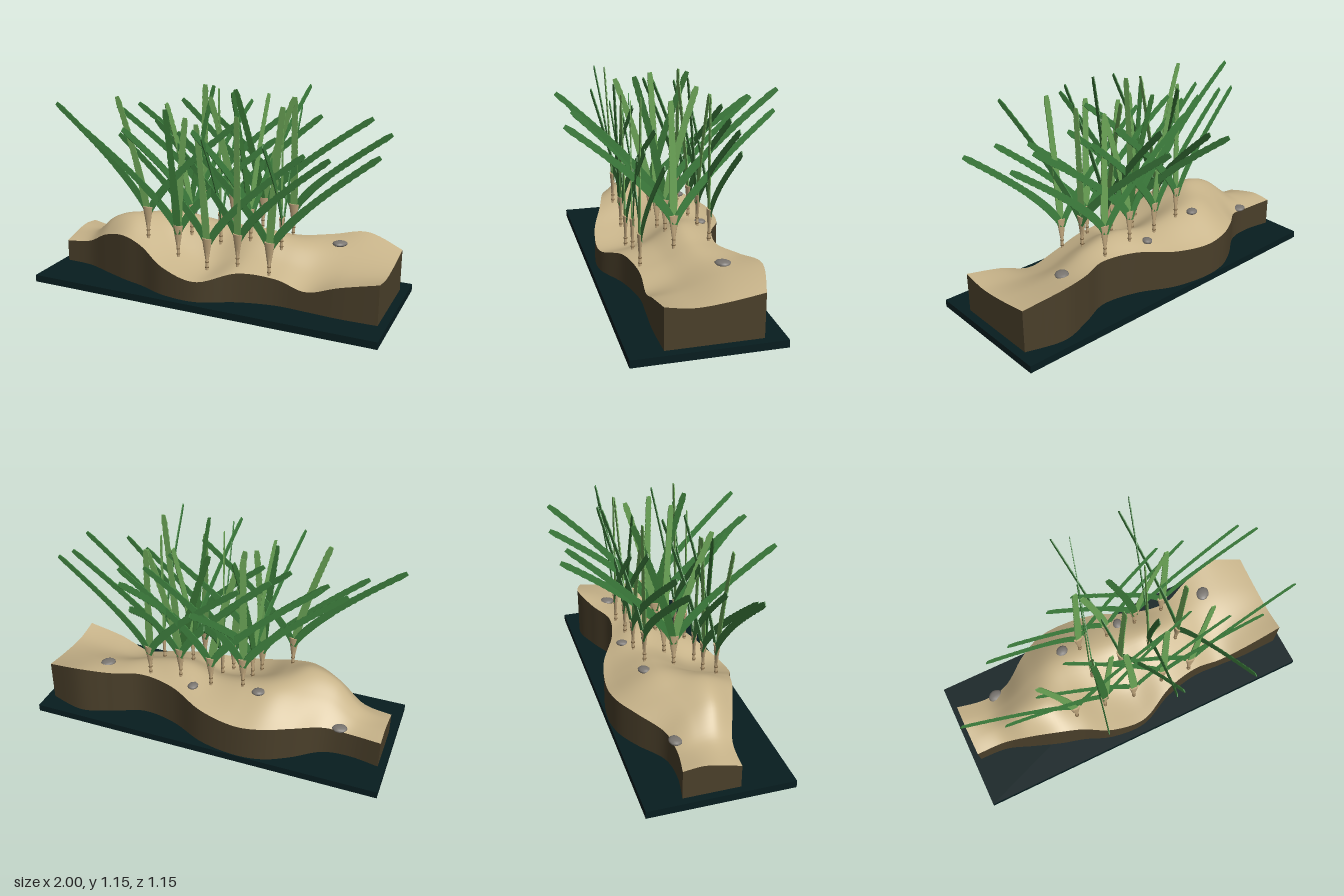
import * as THREE from 'three';

const mat = (name, color) => {
  const m = new THREE.MeshStandardMaterial({ color });
  m.name = name;
  return m;
};
const M = {
  sand: mat('sand', 0xc8b48a),
  soil: mat('soil', 0x4a3f2a),
  base: mat('deep teal', 0x071d1f),
  rock: mat('grey stone', 0x7a7671),
  sheath: mat('sheath tan', 0xc4aa80),
  band: mat('root brown', 0x7d6644),
  leaf: mat('leaf green', 0x3f823f),
  light: mat('light leaf green', 0x6ca657),
  dark: mat('dark leaf green', 0x387435),
};

function add(parent, name, geometry, material, x = 0, y = 0, z = 0) {
  const mesh = new THREE.Mesh(geometry, material);
  mesh.name = name;
  mesh.position.set(x, y, z);
  parent.add(mesh);
  return mesh;
}

// Dune stations: x, front z, back z, then heights from front edge to back edge
const STATIONS = [
  [-0.96, 0.10, -0.20, 0.165, 0.19, 0.21, 0.20],
  [-0.80, 0.11, -0.175, 0.19, 0.225, 0.215, 0.19],
  [-0.65, 0.165, -0.195, 0.27, 0.345, 0.30, 0.21],
  [-0.50, 0.22, -0.30, 0.305, 0.385, 0.34, 0.24],
  [-0.36, 0.26, -0.37, 0.275, 0.335, 0.365, 0.245],
  [-0.20, 0.32, -0.387, 0.20, 0.24, 0.345, 0.24],
  [0.00, 0.33, -0.35, 0.155, 0.185, 0.315, 0.26],
  [0.20, 0.24, -0.255, 0.205, 0.255, 0.345, 0.29],
  [0.40, 0.195, -0.22, 0.19, 0.235, 0.31, 0.30],
  [0.57, 0.20, -0.285, 0.15, 0.20, 0.285, 0.31],
  [0.75, 0.21, -0.338, 0.21, 0.22, 0.28, 0.33],
  [0.955, 0.205, -0.285, 0.26, 0.238, 0.25, 0.275],
];
const channels = [1, 2, 3, 4, 5, 6].map(
  (k) => new THREE.SplineCurve(STATIONS.map((s) => new THREE.Vector2(s[0], s[k]))));

// Spline parameter at which a curve reaches the given abscissa
function paramAt(curve, x) {
  let a = 0, b = 1;
  for (let i = 0; i < 18; i++) {
    const m = (a + b) / 2;
    if (curve.getPoint(m).x < x) a = m; else b = m;
  }
  return b;
}

// Point on the dune: u runs along x, t from front edge to back edge
function dune(u, t) {
  const p = channels.map((c) => c.getPoint(u));
  const profile = new THREE.SplineCurve(
    [0, 0.3, 0.65, 1].map((k, i) => new THREE.Vector2(k, p[i + 2].y)));
  const y = profile.getPoint(paramAt(profile, t)).y;
  return new THREE.Vector3(p[0].x, y, p[0].y + (p[1].y - p[0].y) * t);
}

function ground(x, z) {
  const u = paramAt(channels[0], x);
  const f = channels[0].getPoint(u).y, k = channels[1].getPoint(u).y;
  return dune(u, THREE.MathUtils.clamp((z - f) / (k - f), 0, 1)).y;
}

// Sheet seen from outside: u to the right, v upwards
function sheet(nu, nv, fn) {
  const g = new THREE.PlaneGeometry(1, 1, nu, nv);
  const pos = g.attributes.position;
  for (let i = 0; i < pos.count; i++) {
    const p = fn(pos.getX(i) + 0.5, pos.getY(i) + 0.5);
    pos.setXYZ(i, p.x, p.y, p.z);
  }
  g.computeVertexNormals();
  return g;
}

const wall = (n, edge) => sheet(n, 1, (u, v) => {
  const p = edge(u);
  p.y = 0.04 + (p.y - 0.04) * v;
  return p;
});

// Flat ribbon leaf with a toothed, blunt outer end
function leafGeometry(dx, h) {
  const curve = new THREE.CubicBezierCurve(
    new THREE.Vector2(0, 0.13), new THREE.Vector2(dx * 0.06, 0.24),
    new THREE.Vector2(dx * 0.38, 0.12 + 0.53 * (h - 0.12)), new THREE.Vector2(dx, h));
  const left = [], right = [], N = 50;
  for (let i = 0; i <= N; i++) {
    const s = i / N, p = curve.getPoint(s), d = curve.getTangent(s);
    let w = s < 0.3 ? 0.016 + 0.02 * s : 0.022 - 0.005 * (s - 0.3) / 0.7;
    if (s > 0.55 && i % 2) w -= 0.003;
    if (i === N) w = 0.011;
    left.push(new THREE.Vector2(p.x - d.y * w, p.y + d.x * w));
    right.push(new THREE.Vector2(p.x + d.y * w, p.y - d.x * w));
  }
  const g = new THREE.ExtrudeGeometry(new THREE.Shape([...right, ...left.reverse()]),
    { depth: 0.005, bevelEnabled: false });
  return g.translate(0, 0, -0.0025);
}

const stemGeo = new THREE.CylinderGeometry(0.009, 0.008, 0.12, 8);
const sheathGeo = new THREE.CylinderGeometry(0.03, 0.009, 0.13, 14).scale(1, 1, 0.5);
const bandGeo = new THREE.CylinderGeometry(0.011, 0.011, 0.005, 8);

// Shoot: two outer leaves, a light inner leaf, and a dark one on some.
// Each leaf is given as sideways reach and height above the ground.
function shoot(x, z, yaw, outerA, outerB, inner, darkInner) {
  const g = new THREE.Group();
  g.name = 'grassShoot';
  g.position.set(x, ground(x, z), z);
  g.rotation.y = yaw;
  add(g, 'stem', stemGeo, M.sheath, 0, 0.04);
  add(g, 'sheath', sheathGeo, M.sheath, 0, 0.115);
  for (const y of [0.015, 0.045]) add(g, 'stemBand', bandGeo, M.band, 0, y);
  const leaves = [[outerA, M.leaf], [outerB, M.leaf], [inner, M.light]];
  if (darkInner) leaves.push([darkInner, M.dark]);
  leaves.forEach(([reach, m], i) => {
    add(g, 'leaf', leafGeometry(...reach), m, 0, 0, (i - 1.5) * 0.0055);
  });
  return g;
}

// Front and back rows fan along x, the middle row fans along z
const SHOOTS = [
  [-0.36, 0.18, 0.01, [-0.57, 0.71], [0.54, 0.7], [-0.17, 0.78]],
  [-0.18, 0.17, 0.13, [-0.56, 0.69], [0.54, 0.7], [0.05, 0.78], [-0.06, 0.82]],
  [0, 0.18, -0.03, [-0.54, 0.7], [0.54, 0.7], [-0.06, 0.8]],
  [0.18, 0.18, -0.17, [-0.54, 0.73], [0.52, 0.66], [-0.01, 0.81]],
  [0.36, 0.18, -0.03, [-0.54, 0.71], [0.56, 0.7], [0.06, 0.9]],
  [-0.18, 0, -1.82, [-0.55, 0.69], [0.52, 0.7], [0.19, 0.78], [-0.21, 0.82]],
  [0, 0, -1.34, [-0.59, 0.69], [0.49, 0.72], [0.04, 0.88]],
  [0.18, 0, -1.8, [-0.57, 0.78], [0.5, 0.7], [-0.16, 0.79], [0.16, 0.84]],
  [0.36, 0, -1.39, [-0.57, 0.68], [0.57, 0.71], [0.02, 0.78]],
  [-0.18, -0.165, 0.17, [-0.52, 0.63], [0.52, 0.68], [0.01, 0.78]],
  [0, -0.18, 0.14, [-0.57, 0.68], [0.49, 0.67], [-0.14, 0.74]],
  [0.18, -0.18, 0.02, [-0.5, 0.7], [0.6, 0.68], [0.17, 0.76], [-0.17, 0.78]],
  [0.36, -0.19, -0.05, [-0.53, 0.66], [0.53, 0.63], [-0.01, 0.78]],
];

export function createModel() {
  const model = new THREE.Group();
  model.name = 'seagrassBed';

  // Base slab and dune
  add(model, 'basePlate', new THREE.BoxGeometry(2, 0.04, 0.77), M.base, 0, 0.02, -0.008);
  add(model, 'sandTop', sheet(80, 24, (u, v) => dune(u, v)), M.sand);
  add(model, 'frontWall', wall(80, (u) => dune(u, 0)), M.soil);
  add(model, 'backWall', wall(80, (u) => dune(1 - u, 1)), M.soil);
  add(model, 'leftEndWall', wall(24, (u) => dune(1, u)), M.soil);
  add(model, 'rightEndWall', wall(24, (u) => dune(0, 1 - u)), M.soil);

  // Half-buried stones
  const stoneGeo = new THREE.IcosahedronGeometry(1, 1);
  for (const [x, z, r, turn] of [[-0.73, -0.163, 0.042, 0.2], [-0.28, -0.195, 0.037, 0.5],
    [0.09, -0.222, 0.033, 1.2], [0.635, -0.178, 0.044, 0.9]]) {
    const s = add(model, 'stone', stoneGeo, M.rock, x, ground(x, z) + 0.003, z);
    s.scale.set(r, 0.015, r * 0.85);
    s.rotation.y = turn;
  }

  for (const s of SHOOTS) model.add(shoot(...s));
  return model;
}
